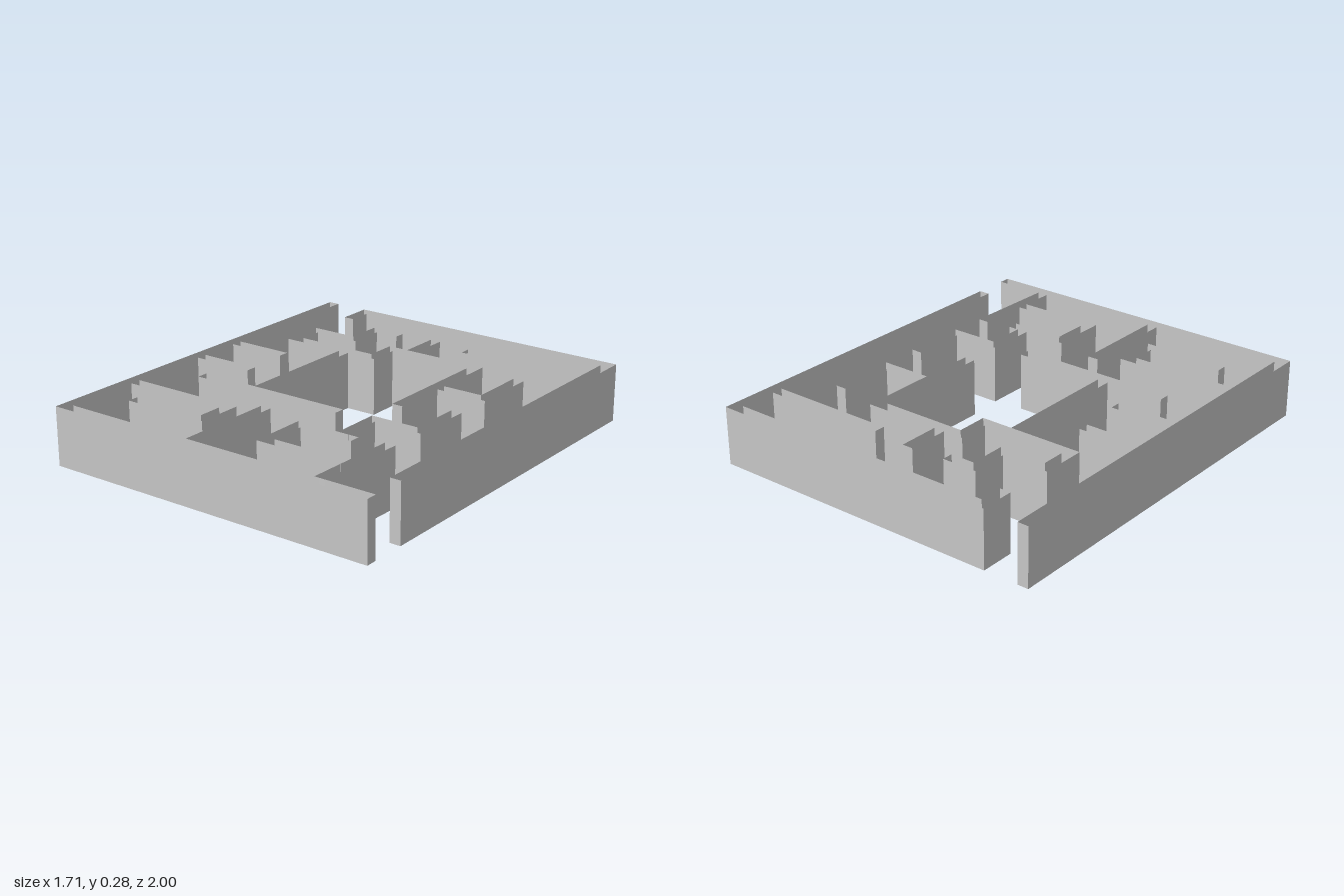
import * as THREE from 'three';

const HEIGHT = 0.285;
const HALF = 0.027; // half the wall thickness

// Outline of a wall of constant thickness along a centre line, with mitred corners
function wallOutline(path) {
  const pts = path.map(([x, z]) => new THREE.Vector2(x, z));
  const left = [], right = [];
  pts.forEach((p, i) => {
    const before = pts[Math.max(i - 1, 0)], after = pts[Math.min(i + 1, pts.length - 1)];
    const d1 = (i > 0 ? p.clone().sub(before) : after.clone().sub(p)).normalize();
    const d2 = (i < pts.length - 1 ? after.clone().sub(p) : d1.clone()).normalize();
    const n1 = new THREE.Vector2(-d1.y, d1.x), n2 = new THREE.Vector2(-d2.y, d2.x);
    const miter = n1.clone().add(n2).normalize();
    miter.multiplyScalar(HALF / miter.dot(n1));
    left.push(p.clone().add(miter));
    right.unshift(p.clone().sub(miter));
  });
  return [...left, ...right];
}

// Upright faces around the outline; the walls are open above and below
function wallGeometry(path) {
  const outline = wallOutline(path);
  if (THREE.ShapeUtils.area(outline) > 0) outline.reverse();
  const positions = [];
  outline.forEach((a, i) => {
    const b = outline[(i + 1) % outline.length];
    positions.push(a.x, 0, a.y, b.x, 0, b.y, b.x, HEIGHT, b.y);
    positions.push(a.x, 0, a.y, b.x, HEIGHT, b.y, a.x, HEIGHT, a.y);
  });
  const geometry = new THREE.BufferGeometry();
  geometry.setAttribute('position', new THREE.Float32BufferAttribute(positions, 3));
  geometry.computeVertexNormals();
  return geometry;
}

// Centre lines of the walls as [x, z]
const WALLS = {
  // outer boundary, with an entrance at the front and an exit at the back
  outerFrontAndLeftWall: [[0.855, 0.973], [-0.828, 0.973], [-0.828, -1]],
  outerRightAndBackWall: [[0.828, 0.775], [0.828, -0.973], [-0.603, -0.973], [-0.603, -0.83]],
  // central room, its back wall running on into the back left passage
  roomFrontWall: [[-0.615, 0.295], [0.185, 0.295]],
  roomLeftWall: [[-0.295, 0.268], [-0.295, -0.373]],
  roomBackWall: [[0.345, 0.08], [0.345, -0.553], [-0.138, -0.553], [-0.138, -0.4], [-0.61, -0.4],
    [-0.61, -0.57], [-0.375, -0.57], [-0.375, -0.75], [-0.228, -0.75]],
  // back passages
  backStubWall: [[-0.035, -0.58], [-0.035, -0.785]],
  backRightWall: [[0.801, -0.737], [0.17, -0.737]],
  // right passages
  rightHookWall: [[0.372, -0.225], [0.6, -0.225], [0.6, -0.53]],
  rightCornerWall: [[0.6, -0.01], [0.6, 0.28], [0.36, 0.28], [0.36, 0.5]],
  // passages by the entrance
  frontHookWall: [[0.44, 0.525], [0.145, 0.525], [0.145, 0.755], [0.56, 0.755]],
  entranceWall: [[0.58, 0.946], [0.592, 0.48]],
  // left passages
  frontStubWall: [[-0.105, 0.946], [-0.105, 0.45]],
  frontLeftHookWall: [[-0.801, 0.55], [-0.24, 0.55], [-0.24, 0.725], [-0.648, 0.725]],
  leftStubWallFront: [[-0.801, 0.09], [-0.49, 0.09]],
  leftStubWallBack: [[-0.801, -0.17], [-0.505, -0.17]],
};

export function createModel() {
  const group = new THREE.Group();
  group.name = 'maze';
  const material = new THREE.MeshStandardMaterial({
    color: 0xcccccc, flatShading: true, side: THREE.DoubleSide,
  });
  for (const [name, path] of Object.entries(WALLS)) {
    const mesh = new THREE.Mesh(wallGeometry(path), material);
    mesh.name = name;
    group.add(mesh);
  }
  return group;
}
